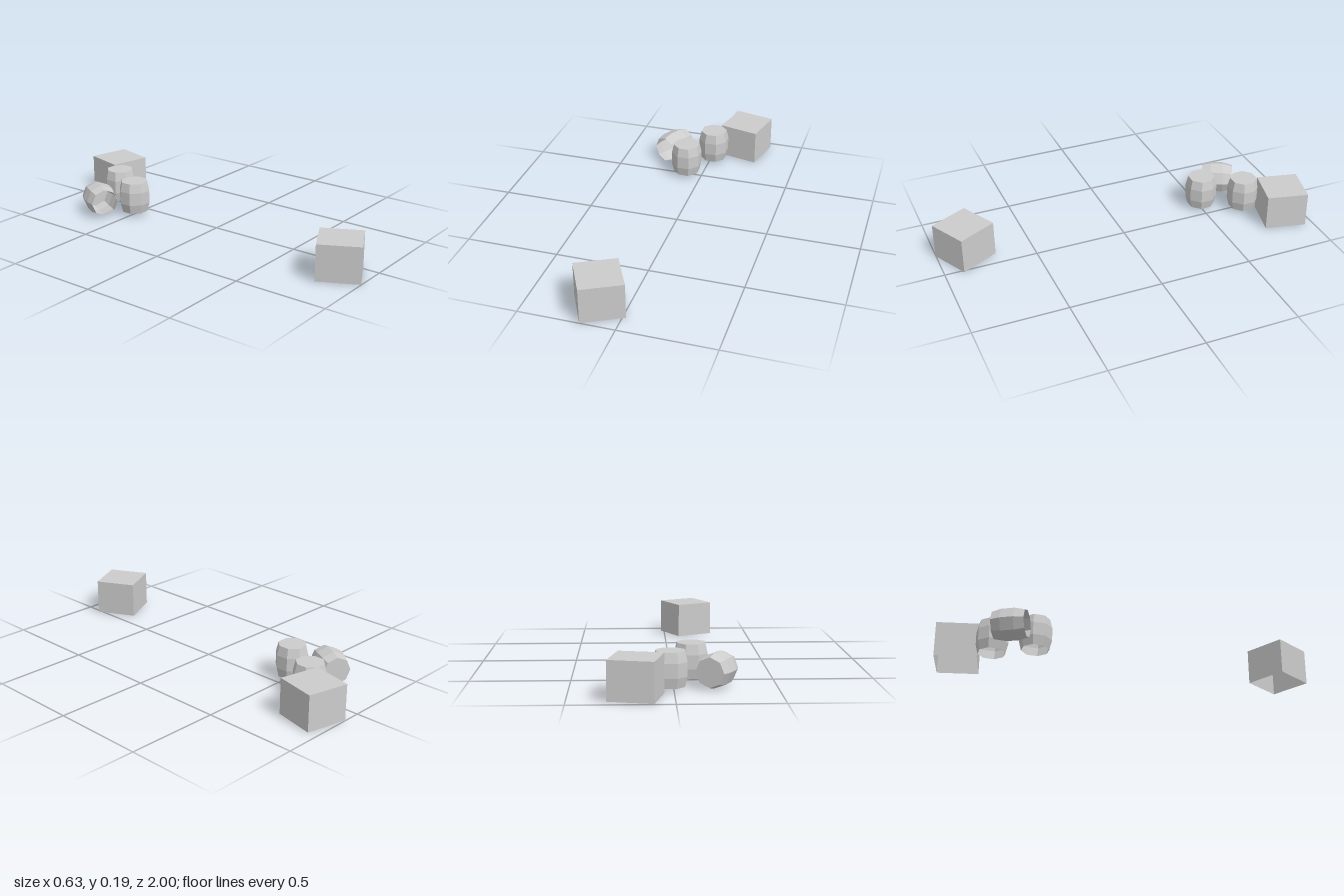
import * as THREE from 'three';

const grey = new THREE.MeshStandardMaterial({ color: 0xcccccc, flatShading: true, side: THREE.DoubleSide });
grey.name = 'plainGrey';

// Crate: a box with no underside
function crate(name, x, z, turn) {
  const geo = new THREE.BoxGeometry(0.2227, 0.192, 0.2227);
  const index = Array.from(geo.index.array);
  index.splice(18, 6);
  geo.setIndex(index);
  geo.clearGroups();
  const mesh = new THREE.Mesh(geo, grey);
  mesh.name = name;
  mesh.position.set(x, 0.099, z);
  mesh.rotation.y = turn;
  return mesh;
}

// Barrel: eight staves in three bands, closed lid, open base
function barrel(name, x, y, z, phiStart) {
  const profile = [[0.074, -0.086], [0.0866, -0.035], [0.0866, 0.035], [0.074, 0.086]];
  const points = profile.map(([r, h]) => new THREE.Vector2(r, h));
  const staves = new THREE.Mesh(new THREE.LatheGeometry(points, 8, phiStart), grey);
  staves.name = 'staves';
  const lidGeo = new THREE.CircleGeometry(0.074, 8, phiStart);
  lidGeo.rotateX(-Math.PI / 2);
  lidGeo.translate(0, 0.086, 0);
  const lid = new THREE.Mesh(lidGeo, grey);
  lid.name = 'lid';
  const group = new THREE.Group();
  group.name = name;
  group.add(staves, lid);
  group.position.set(x, y, z);
  return group;
}

export function createModel() {
  const model = new THREE.Group();
  model.name = 'cratesAndBarrels';

  model.add(crate('frontCrate', -0.1315, 0.8525, 0.476));
  model.add(crate('backCrate', 0.18, -0.8675, -0.231));

  // Two standing barrels
  model.add(barrel('standingBarrelBack', 0.017, 0.106, -0.714, Math.PI / 8));
  model.add(barrel('standingBarrelFront', -0.092, 0.106, -0.508, Math.PI / 8));

  // One barrel lying on its side, lid to the back
  const lying = barrel('lyingBarrel', -0.208, 0.087, -0.666, 0);
  lying.rotation.set(-Math.PI / 2, -0.489, 0, 'YXZ');
  model.add(lying);

  return model;
}
